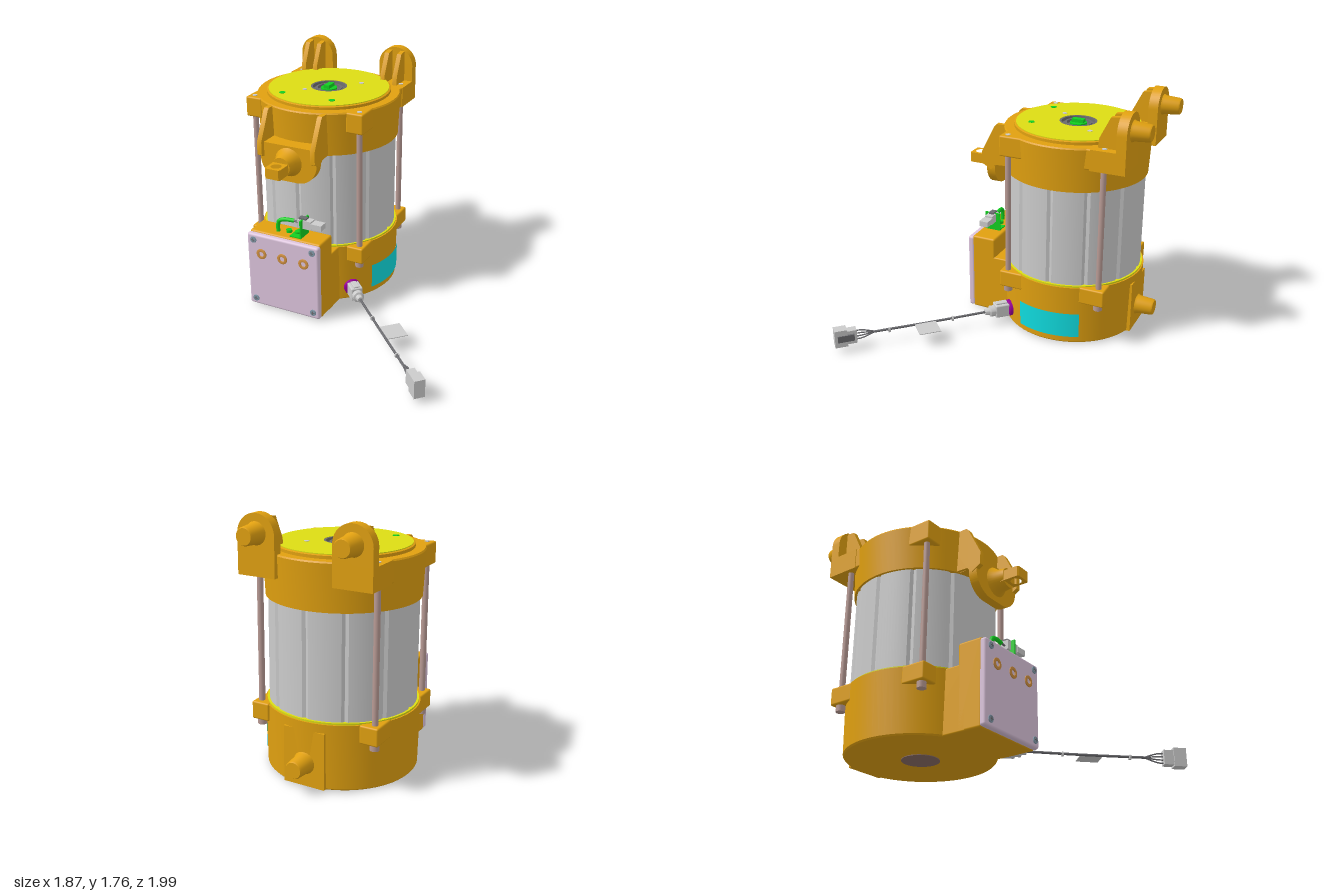
import * as THREE from 'three';
import { toCreasedNormals } from 'three/addons/utils/BufferGeometryUtils.js';
import { RoundedBoxGeometry } from 'three/addons/geometries/RoundedBoxGeometry.js';

const mat = (color, side = THREE.FrontSide) => new THREE.MeshStandardMaterial({ color, side });
const M = {
  orange: mat(0xe0a010), yellow: mat(0xdcdc14), grey: mat(0xcccccc), dark: mat(0x6c6c70),
  rod: mat(0xb89a94), lid: mat(0xdcc4dc), green: mat(0x10d020), purple: mat(0x990099),
  steel: mat(0x8098a8), brass: mat(0xd09040), cyan: mat(0x10dde0, THREE.DoubleSide),
  cap: mat(0x8a6c66),
};
const CX = -0.41, CZ = -0.35; // motor axis

export function createModel() {
  const root = new THREE.Group();

  const add = (name, geo, m, x = 0, y = 0, z = 0, parent = root) => {
    const mesh = new THREE.Mesh(geo, m);
    mesh.name = name;
    mesh.position.set(x, y, z);
    parent.add(mesh);
    return mesh;
  };
  // box given by its limits
  const box = (name, m, x0, x1, y0, y1, z0, z1, parent = root) =>
    add(name, new THREE.BoxGeometry(x1 - x0, y1 - y0, z1 - z0), m, (x0 + x1) / 2, (y0 + y1) / 2, (z0 + z1) / 2, parent);
  const rbox = (name, m, x0, x1, y0, y1, z0, z1, r = 0.012, parent = root) =>
    add(name, new RoundedBoxGeometry(x1 - x0, y1 - y0, z1 - z0, 3, r), m, (x0 + x1) / 2, (y0 + y1) / 2, (z0 + z1) / 2, parent);
  // turned part around y
  const lathe = (pts, seg = 72) =>
    toCreasedNormals(new THREE.LatheGeometry(pts.map(p => new THREE.Vector2(...p)), seg), 0.6);
  const turn = (name, m, pts, x, y, z, parent = root, seg = 72) => add(name, lathe(pts, seg), m, x, y, z, parent);
  // turned part pointing along +z or -z
  const turnZ = (name, m, pts, x, y, z, dir = 1, parent = root) => {
    const mesh = add(name, lathe(pts, 32), m, x, y, z, parent);
    mesh.rotation.x = dir * Math.PI / 2;
    return mesh;
  };
  const shape = pts => new THREE.Shape(pts.map(p => new THREE.Vector2(...p)));
  const extrude = (s, depth) => toCreasedNormals(
    new THREE.ExtrudeGeometry(s, { depth, bevelEnabled: false, curveSegments: 24 }), 0.5);
  // side rib: outline in (z, y), thickness across x
  const rib = (name, pts, x, t) => {
    const mesh = add(name, extrude(shape(pts.map(([z, y]) => [-z, y])), t), M.orange, x - t / 2, 0, 0);
    mesh.rotation.y = Math.PI / 2;
    return mesh;
  };

  // Lower and upper housings
  turn('lowerHousing', M.orange, [[0, 0.005], [0.505, 0.005], [0.515, 0.015], [0.525, 0.46], [0.5, 0.46], [0, 0.46]], CX, 0, CZ);
  turn('sealRing', M.yellow, [[0.48, 0.46], [0.515, 0.46], [0.515, 0.472], [0.48, 0.472]], CX, 0, CZ);
  turn('upperHousing', M.orange, [[0, 1.19], [0.517, 1.19], [0.532, 1.5], [0.525, 1.51], [0.46, 1.51], [0.46, 1.53],
    [0.45, 1.535], [0.44, 1.535], [0.44, 1.5], [0, 1.5]], CX, 0, CZ);
  turn('bottomCap', M.cap, [[0, 0], [0.13, 0], [0.13, 0.01]], CX, 0, CZ);

  // Stator body with lengthwise grooves
  const outline = [];
  for (let i = 0; i < 144; i++) {
    const a = i / 144 * Math.PI * 2, r = i % 12 === 0 ? 0.487 : 0.5;
    outline.push([r * Math.cos(a), r * Math.sin(a)]);
  }
  add('statorBody', extrude(shape(outline), 0.76), M.grey, CX, 0.44, CZ).rotation.x = -Math.PI / 2;

  // Top cover, bearing and shaft
  turn('topCover', M.yellow, [[0.135, 1.49], [0.135, 1.54], [0.447, 1.54], [0.447, 1.5]].reverse(), CX, 0, CZ);
  turn('bearing', M.dark, [[0.135, 1.5], [0.135, 1.538], [0.12, 1.538], [0.118, 1.515], [0.1, 1.515], [0.098, 1.53],
    [0.083, 1.53], [0.08, 1.51], [0, 1.51]], CX, 0, CZ);
  turn('shaftCollar', M.green, [[0.06, 1.5], [0.06, 1.53], [0, 1.53]], CX, 0, CZ);
  box('shaftTang', M.green, CX - 0.022, CX + 0.022, 1.52, 1.555, CZ - 0.045, CZ + 0.045);
  for (const [x, z, m, r] of [[-0.64, -0.06, M.green, 0.023], [-0.235, -0.06, M.green, 0.023],
    [-0.22, -0.51, M.grey, 0.018], [-0.53, -0.195, M.grey, 0.018]])
    add('coverPlug', new THREE.CylinderGeometry(r, r, 0.01, 20), m, x, 1.538, z);

  // Corner lugs with tie rods
  for (const sx of [-1, 1]) for (const sz of [-1, 1]) {
    const x = CX + sx * 0.425, z = CZ + sz * 0.355;
    const xo = CX + sx * 0.472, xi = CX + sx * 0.34, zo = CZ + sz * (sz > 0 ? 0.405 : 0.41), zi = CZ + sz * 0.22;
    const lim = [Math.min(xo, xi), Math.max(xo, xi)], limZ = [Math.min(zo, zi), Math.max(zo, zi)];
    rbox('upperLug', M.orange, ...lim, 1.36, 1.51, ...limZ);
    rbox('lowerLug', M.orange, ...lim, 0.34, 0.465, ...limZ);
    add('tieRod', new THREE.CylinderGeometry(0.021, 0.021, 1.1, 20), M.rod, x, 0.87, z);
    add('rodHead', new THREE.CylinderGeometry(0.032, 0.032, 0.045, 20), M.rod, x, 0.318, z);
    add('rodEnd', new THREE.CylinderGeometry(0.018, 0.018, 0.01, 20), M.grey, x, 1.509, z);
  }

  // Rear mounts: round-topped plate, block, ribs and pin
  const pin = [[0, 0], [0.078, 0], [0.068, 0.02], [0.06, 0.125], [0.054, 0.135], [0, 0.135]];
  for (const s of [-1, 1]) {
    const x = CX + s * 0.34;
    const plate = shape([[-0.137, 1.4], [0.137, 1.4], [0.137, 1.625]]);
    plate.absarc(0, 1.625, 0.137, 0, Math.PI, false);
    add('rearMountPlate', extrude(plate, 0.07), M.orange, x, 0, -0.87);
    box('rearMountBlock', M.orange, x - 0.137, x + 0.137, 1.36, 1.51, -0.87, -0.62);
    for (const rx of [-0.045, 0.055])
      rib('rearMountRib', [[-0.81, 1.5], [-0.65, 1.5], [-0.66, 1.58], [-0.735, 1.73], [-0.81, 1.74]], x + rx, 0.035);
    turnZ('rearMountPin', M.orange, pin, x, 1.635, -0.865, -1);
  }
  box('lowerRearPad', M.orange, CX - 0.15, CX + 0.15, 0.01, 0.4, -0.868, -0.7);
  turnZ('lowerRearPin', M.orange, pin, CX, 0.17, -0.865, -1);

  // Front bracket with eye pin
  const tongue = shape([[-0.225, 1.28], [-0.225, 1.17]]);
  tongue.absarc(-0.065, 1.17, 0.16, Math.PI, Math.PI * 1.5, false);
  tongue.absarc(0.065, 1.17, 0.16, Math.PI * 1.5, Math.PI * 2, false);
  tongue.lineTo(0.225, 1.28);
  add('frontBracketPlate', extrude(tongue, 0.065), M.orange, CX, 0, 0.21);
  box('frontBracketWeb', M.orange, CX - 0.21, CX + 0.21, 1.19, 1.28, 0, 0.24);
  for (const s of [-1, 1])
    rib('frontBracketRib', [[0, 1.505], [0.19, 1.505], [0.205, 1.49], [0.31, 1.285], [0.31, 1.19], [0.24, 1.15], [0.2, 1.19], [0, 1.2]],
      CX + s * 0.213, 0.036);
  turnZ('frontPinCollar', M.orange, [[0, 0], [0.11, 0], [0.08, 0.04], [0.07, 0.11], [0, 0.11]], CX, 1.16, 0.27);
  const eye = shape([[-0.06, -0.33], [0.06, -0.33], [0.06, -0.49], [0.05, -0.5], [-0.05, -0.5], [-0.06, -0.49]]);
  const hole = new THREE.Path();
  hole.absarc(0, -0.44, 0.038, 0, Math.PI * 2, true);
  eye.holes.push(hole);
  add('frontPinEye', extrude(eye, 0.075), M.orange, CX, 1.115, 0).rotation.x = -Math.PI / 2;

  // Terminal box with lid, screws and sockets
  rbox('terminalBox', M.orange, -0.7, -0.118, 0.005, 0.61, 0.185, 0.37, 0.015);
  rbox('terminalBoxNeck', M.orange, -0.7, -0.118, 0.005, 0.46, -0.1, 0.25, 0.01);
  rbox('terminalLid', M.lid, -0.705, -0.115, 0.01, 0.6, 0.358, 0.408, 0.018);
  for (const x of [-0.65, -0.165]) for (const y of [0.062, 0.555]) {
    turnZ('lidScrew', M.steel, [[0, 0], [0.026, 0], [0.024, 0.012], [0, 0.014]], x, y, 0.402);
    box('screwSlot', M.dark, x - 0.014, x + 0.014, y - 0.003, y + 0.003, 0.41, 0.418);
    box('screwSlot', M.dark, x - 0.003, x + 0.003, y - 0.014, y + 0.014, 0.41, 0.418);
  }
  for (const x of [-0.585, CX, -0.235]) {
    turnZ('lidSocket', M.brass, [[0.04, 0], [0.04, 0.012], [0.03, 0.016], [0.02, 0.014], [0.02, 0.004], [0, 0.004]], x, 0.45, 0.402);
  }

  // Signal cable, its bracket and plug
  const tube = (name, pts, r, m, parent = root) => add(name, new THREE.TubeGeometry(
    new THREE.CatmullRomCurve3(pts.map(p => new THREE.Vector3(...p)), false, 'centripetal'), 32, r, 10), m, 0, 0, 0, parent);
  tube('signalCable', [[-0.5, 0.6, 0.3], [-0.5, 0.66, 0.3], [-0.49, 0.695, 0.3], [-0.45, 0.712, 0.295], [-0.37, 0.714, 0.285]], 0.015, M.green);
  tube('signalWire', [[-0.38, 0.714, 0.285], [-0.32, 0.708, 0.285]], 0.008, M.dark);
  box('signalBracketUpright', M.green, -0.297, -0.287, 0.61, 0.75, 0.222, 0.345);
  box('signalBracketFoot', M.green, -0.38, -0.287, 0.608, 0.618, 0.222, 0.345);
  for (const x of [-0.42, -0.35]) add('bracketScrew', new THREE.CylinderGeometry(0.022, 0.022, 0.025, 16), M.green, x, 0.618, 0.28);
  box('signalPlug', M.grey, -0.33, -0.22, 0.68, 0.745, 0.255, 0.315);
  box('signalPlugLatch', M.dark, -0.325, -0.265, 0.74, 0.758, 0.265, 0.305);
  box('signalPlugNose', M.grey, -0.22, -0.135, 0.692, 0.734, 0.25, 0.32);

  // Rating plate wrapped on the lower housing
  add('ratingPlate', new THREE.CylinderGeometry(0.528, 0.525, 0.19, 24, 1, true, Math.PI / 2 - 0.46, 0.92), M.cyan, CX, 0.155, CZ);

  // Diagonal lead; local +z runs outward from the housing
  const lead = new THREE.Group();
  lead.name = 'powerLead';
  lead.position.set(-0.045, 0.105, 0.015);
  lead.rotation.y = Math.PI / 4;
  root.add(lead);
  turnZ('leadFlange', M.purple, [[0, -0.05], [0.062, -0.05], [0.062, 0.02], [0.05, 0.028], [0, 0.028]], 0, 0.005, 0, 1, lead);
  rbox('leadPlug', M.grey, -0.045, 0.045, -0.045, 0.055, 0.02, 0.13, 0.01, lead);
  rbox('leadPlugLatch', M.grey, -0.022, 0.022, 0.04, 0.066, 0.03, 0.12, 0.006, lead);
  turnZ('leadGland', M.grey, [[0, 0], [0.042, 0], [0.042, 0.04], [0.028, 0.045], [0.022, 0.08], [0, 0.08]], 0, 0, 0.125, 1, lead);
  tube('leadCable', [[0, 0, 0.19], [0, -0.003, 0.6], [0, 0, 1.06]], 0.009, M.dark, lead);
  for (const z of [0.46, 0.94]) {
    add('cableTie', new THREE.TorusGeometry(0.011, 0.005, 8, 16), M.grey, 0, 0, z, lead);
    box('cableTieHead', M.grey, -0.01, 0.018, -0.018, 0.004, z - 0.008, z + 0.008, lead);
  }
  box('cableTag', M.grey, -0.012, 0.15, -0.002, 0.003, 0.59, 0.75, lead).position.x = 0.077;
  for (let i = 0; i < 4; i++) {
    const y = (i - 1.5) * 0.024;
    tube('leadWire', [[0, 0, 1.04], [0, y * 0.3, 1.07], [0, y * 0.9, 1.14], [0, y, 1.2]], 0.005, M.dark, lead);
  }
  box('endPlugRear', M.grey, -0.03, 0.03, -0.05, 0.055, 1.18, 1.25, lead);
  box('endPlugFront', M.grey, -0.038, 0.038, -0.062, 0.072, 1.25, 1.34, lead);
  box('endPlugLatch', M.dark, 0.03, 0.045, -0.02, 0.03, 1.2, 1.32, lead);

  return root;
}
